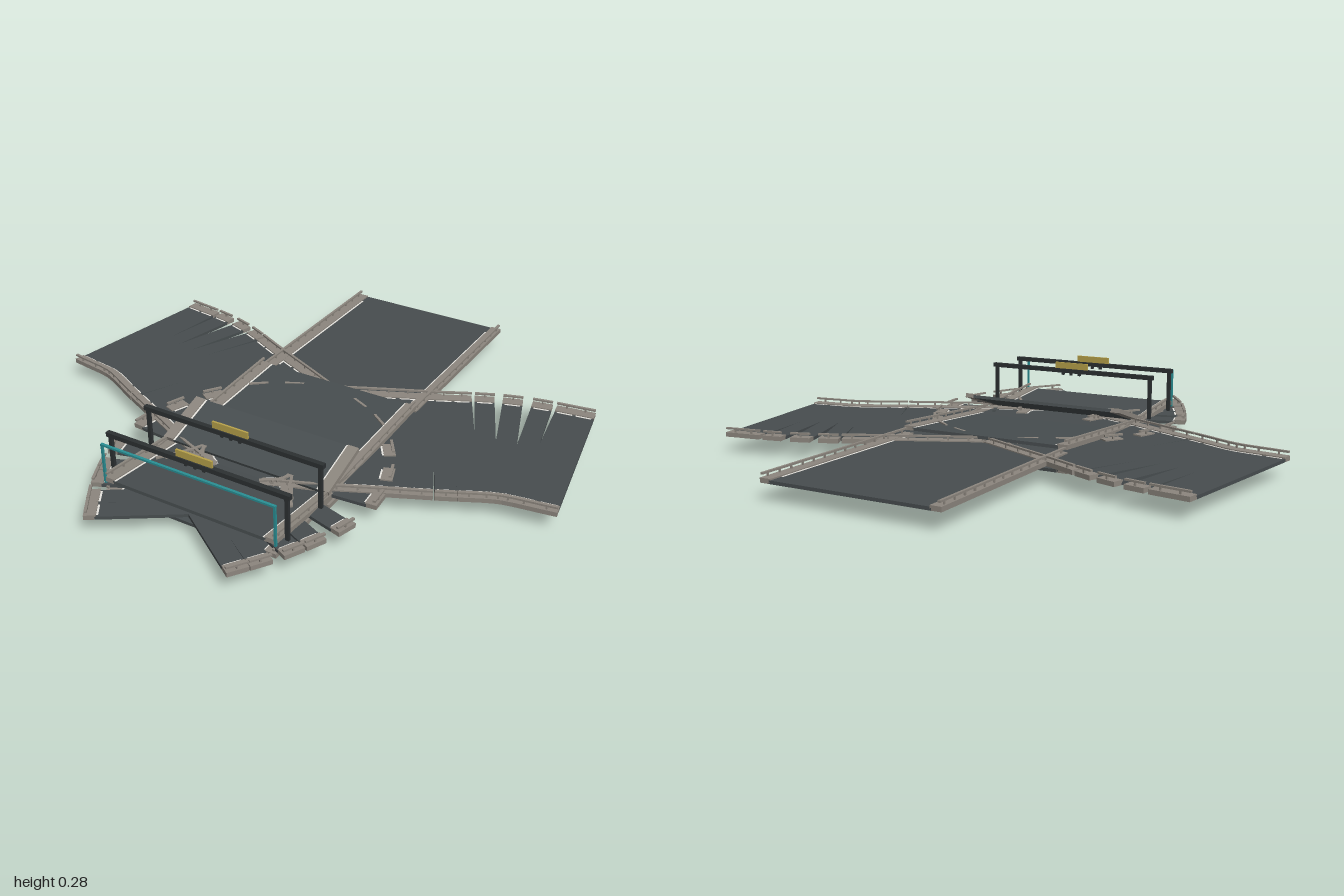
import * as THREE from 'three';

const mat = (name, color) => Object.assign(new THREE.MeshStandardMaterial({ color }), { name });

export function createModel() {
  const model = new THREE.Group();
  model.name = 'roadJunction';
  const asphalt = mat('asphalt', 0x474d4f);
  const concrete = mat('concrete', 0x8c867e);
  const paint = mat('whitePaint', 0xe6e4de);
  const steel = mat('darkSteel', 0x2c3032);
  const teal = mat('teal', 0x2a8f94);
  const yellow = mat('signYellow', 0xb8a24a);

  const box = (parent, name, m, w, h, d, x, y, z) => {
    const mesh = new THREE.Mesh(new THREE.BoxGeometry(w, h, d), m);
    mesh.name = name;
    mesh.position.set(x, y, z);
    parent.add(mesh);
    return mesh;
  };

  // One road slab running along its own z, with its deck surface at local y = 0
  const slab = (name, length, { rails = true, posts = 1, lineLength = length } = {}) => {
    const g = new THREE.Group();
    g.name = name;
    box(g, 'deck', asphalt, 0.62, 0.012, length, 0, -0.006, 0);
    for (const s of [-1, 1]) {
      box(g, 'curb', concrete, 0.042, 0.017, length, s * 0.326, -0.0035, 0);
      box(g, 'edgeLine', paint, 0.008, 0.001, lineLength, s * 0.302, 0.0008, 0);
      if (!rails) continue;
      box(g, 'guardRail', concrete, 0.01, 0.007, length, s * 0.338, 0.0195, 0);
      for (let i = 0; i < posts; i++) {
        const z = ((i + 0.5) / posts - 0.5) * length;
        box(g, 'railPost', concrete, 0.006, 0.014, 0.006, s * 0.338, 0.011, z);
      }
    }
    return g;
  };

  // Straight slab between two heights along the main axis
  const straight = (name, zFront, yFront, zBack, yBack, options) => {
    const dz = zFront - zBack, dy = yFront - yBack;
    const g = slab(name, Math.hypot(dz, dy), options);
    g.position.set(0, (yFront + yBack) / 2, (zFront + zBack) / 2);
    g.rotation.x = -Math.atan2(dy, dz);
    model.add(g);
  };
  straight('mainRoad', -0.19, 0.075, -1, 0.075, { posts: 14, lineLength: 0.7 });
  straight('risingRoad', 0.79, 0.047, -0.19, 0.1, { posts: 16 });
  straight('fallingRoad', 0.79, 0.102, -0.19, 0.0125, { posts: 16 });
  straight('lowerRoad', 0.46, 0.036, -0.19, 0.036, { rails: false });
  straight('jumpRamp', 0.46, 0.09, 0.255, 0.155, { rails: false });

  // Curved side roads: separate slabs that fan out along a bend
  const path = [[-0.985, -0.19], [-0.74, -0.145], [-0.5, -0.035], [-0.19, 0.11],
    [0.09, 0.25], [0.163, 0.43], [0.1, 0.62], [0, 0.78]];
  for (const side of [-1, 1]) {
    const branch = new THREE.Group();
    branch.name = side < 0 ? 'rightSideRoad' : 'leftSideRoad';
    const curve = new THREE.CatmullRomCurve3(
      path.map(([x, z]) => new THREE.Vector3(-side * x * -1 * -1, 0.074, z)));
    const count = 24, step = curve.getLength() / count;
    for (let i = 0; i < count; i++) {
      const u = (i + 0.5) / count;
      const g = slab('roadSegment', step * 1.04, { lineLength: step * 0.8 });
      const t = curve.getTangentAt(u);
      g.position.copy(curve.getPointAt(u));
      g.rotation.y = Math.atan2(t.x, t.z);
      branch.add(g);
    }
    model.add(branch);
  }

  // Overhead gantries with a sign and small hanging lamps
  for (const z of [0.73, 0.525]) {
    const gantry = new THREE.Group();
    gantry.name = 'gantry';
    gantry.position.z = z;
    for (const s of [-1, 1]) box(gantry, 'post', steel, 0.014, 0.17, 0.012, s * 0.354, 0.155, 0);
    box(gantry, 'beam', steel, 0.736, 0.017, 0.018, 0, 0.242, 0);
    box(gantry, 'sign', yellow, 0.146, 0.026, 0.008, -0.003, 0.263, 0);
    for (const x of [-0.038, 0, 0.036]) box(gantry, 'lamp', steel, 0.01, 0.01, 0.01, x, 0.229, 0);
    model.add(gantry);
  }

  // Slim teal gate at the entrance
  const gate = new THREE.Group();
  gate.name = 'entranceGate';
  for (const s of [-1, 1]) box(gate, 'gatePost', teal, 0.008, 0.155, 0.008, s * 0.345, 0.16, 0.787);
  box(gate, 'gateBar', teal, 0.698, 0.007, 0.01, 0, 0.235, 0.787);
  model.add(gate);

  return model;
}
